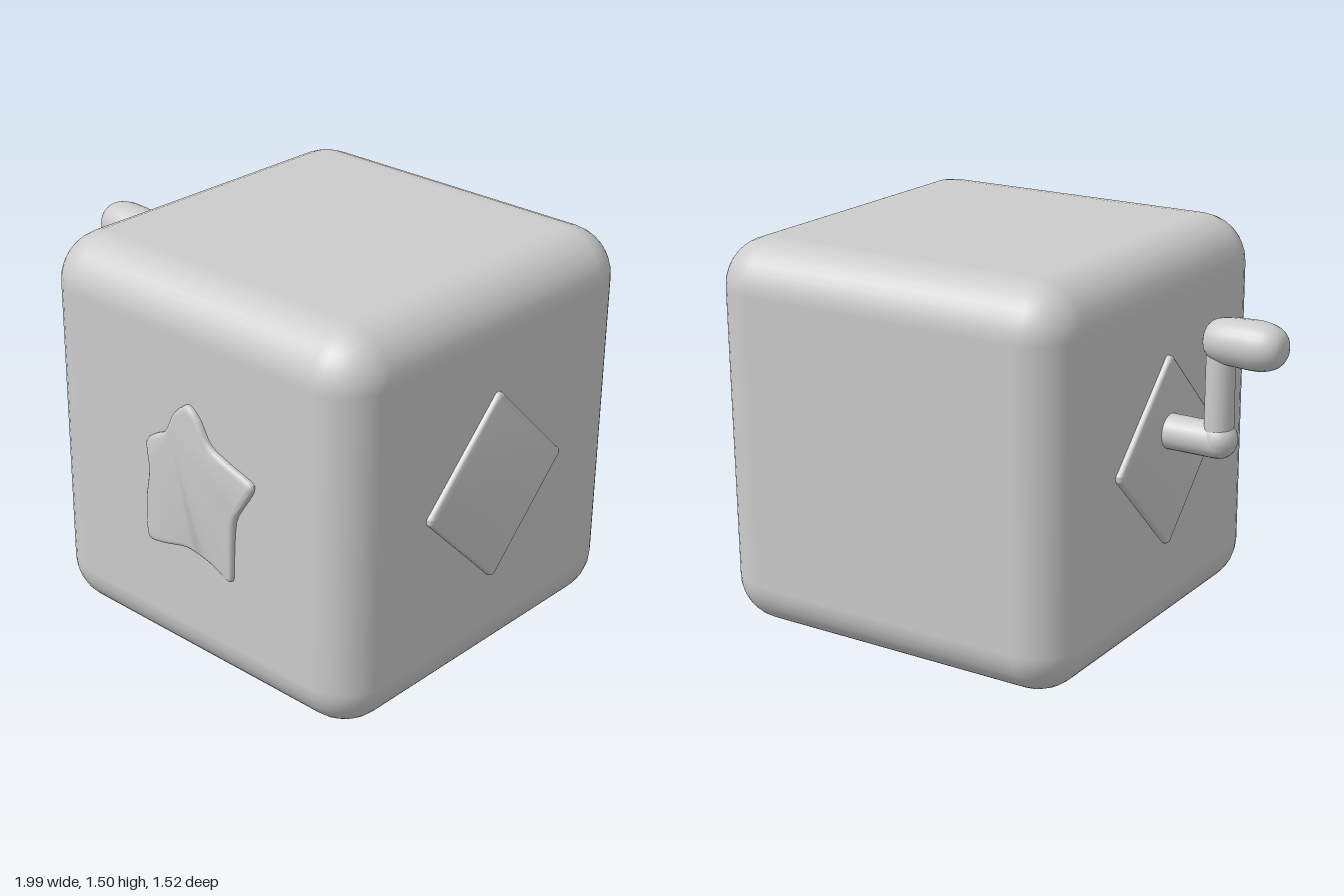
import * as THREE from 'three';
import { RoundedBoxGeometry } from 'three/addons/geometries/RoundedBoxGeometry.js';
import { toCreasedNormals } from 'three/addons/utils/BufferGeometryUtils.js';

const BOX = { size: 1.5, x: 0.222, y: 0.752, z: -0.013 };
const CRANK_Z = -0.017;

export function createModel() {
  const group = new THREE.Group();
  const grey = new THREE.MeshStandardMaterial({ color: 0xcccccc });
  grey.name = 'plain grey';

  const add = (name, geometry, x = 0, y = 0, z = 0) => {
    const mesh = new THREE.Mesh(geometry, grey);
    mesh.name = name;
    mesh.position.set(x, y, z);
    group.add(mesh);
    return mesh;
  };

  // Closed smooth outline with softened corners
  const outline = (points, tension) => new THREE.Shape(
    new THREE.CatmullRomCurve3(
      points.map(([x, y]) => new THREE.Vector3(x, y, 0)), true, 'catmullrom', tension
    ).getPoints(72).slice(0, -1).map(p => new THREE.Vector2(p.x, p.y)));

  // Cushion-edged plate, its back sunk into the box
  const plate = shape => toCreasedNormals(new THREE.ExtrudeGeometry(shape, {
    depth: 0.02, bevelThickness: 0.014, bevelSize: 0.018, bevelOffset: -0.018, bevelSegments: 3,
  }), 0.8);

  // Soft-edged box
  add('box', new RoundedBoxGeometry(BOX.size, BOX.size, BOX.size, 4, 0.185), BOX.x, BOX.y, BOX.z);

  // Lopsided star on the front
  const star = outline([
    [0.23, 1.08], [0.285, 1.04], [0.335, 0.96], [0.43, 0.92], [0.535, 0.885], [0.525, 0.835],
    [0.455, 0.72], [0.44, 0.6], [0.435, 0.475], [0.415, 0.465], [0.33, 0.5], [0.22, 0.517],
    [0.11, 0.49], [0.03, 0.48], [0.012, 0.53], [0.015, 0.65], [0.033, 0.76], [0.022, 0.87],
    [0.06, 0.91], [0.12, 0.945], [0.165, 1.03],
  ], 0.4);
  add('star', plate(star), 0, 0, 0.726);

  // Diamonds on both sides
  const h = 0.37, c = 0.025;
  const diamond = new THREE.Shape();
  diamond.moveTo(c, h - c);
  diamond.quadraticCurveTo(0, h + 0.01, -c, h - c);
  diamond.lineTo(-h + c, c);
  diamond.quadraticCurveTo(-h - 0.01, 0, -h + c, -c);
  diamond.lineTo(-c, -h + c);
  diamond.quadraticCurveTo(0, -h - 0.01, c, -h + c);
  diamond.lineTo(h - c, -c);
  diamond.quadraticCurveTo(h + 0.01, 0, h - c, c);
  for (const side of [1, -1]) {
    const x = side > 0 ? 0.96 : -0.518;
    const mesh = add(side > 0 ? 'leftDiamond' : 'rightDiamond', plate(diamond), x, 0.752, -0.005);
    mesh.rotation.y = side * Math.PI / 2;
  }

  // Crank axle, its rounded end outside the box
  const axle = add('crankAxle', new THREE.CapsuleGeometry(0.066, 0.26, 6, 20), -0.62, 0.835, CRANK_Z);
  axle.rotation.z = Math.PI / 2;

  // Crank arm with an elbow at the bottom
  add('crankArm', new THREE.CylinderGeometry(0.053, 0.055, 0.38, 20), -0.748, 1.02, CRANK_Z);
  add('crankElbow', new THREE.SphereGeometry(0.067, 20, 12), -0.752, 0.843, CRANK_Z);

  // Bulbous handle, tapering to the arm
  const profile = new THREE.SplineCurve([
    [0, 0], [0.045, 0.008], [0.075, 0.04], [0.089, 0.095], [0.088, 0.17],
    [0.083, 0.235], [0.068, 0.285], [0.035, 0.308], [0, 0.312],
  ].map(([r, y]) => new THREE.Vector2(r, y))).getPoints(24);
  profile.forEach(p => { p.x = Math.max(p.x, 0); });
  const handle = add('crankHandle', new THREE.LatheGeometry(profile, 24), -1, 1.21, CRANK_Z);
  handle.rotation.z = -Math.PI / 2;

  return group;
}
